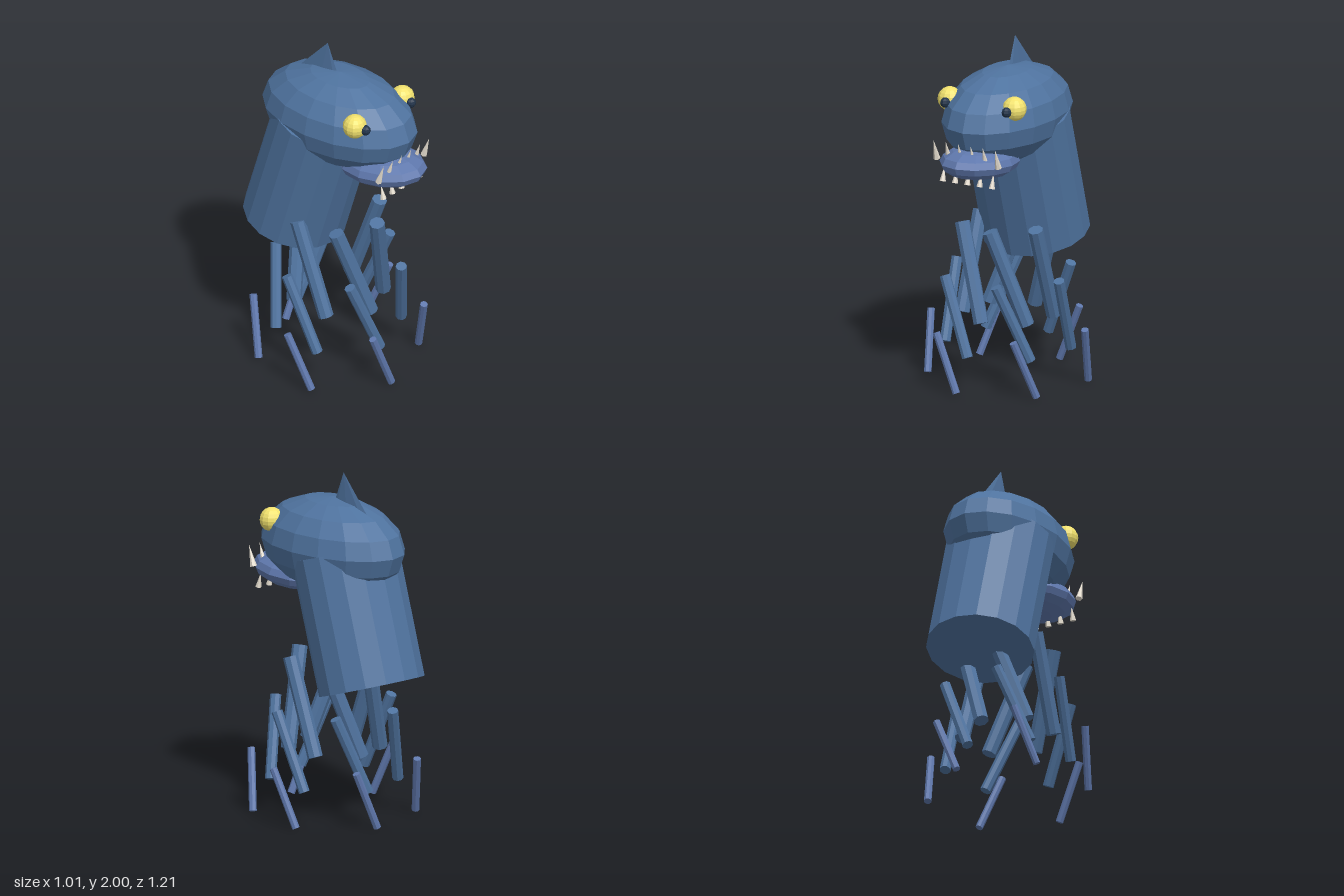
import * as THREE from 'three';

const paint = (color) => new THREE.MeshStandardMaterial({ color, flatShading: true });

export function createModel() {
  const model = new THREE.Group();
  const skin = paint(0x4f739f);
  const paleSkin = paint(0x5f78ad);
  const yellow = paint(0xf2e26e);
  const dark = paint(0x22344a);
  const ivory = paint(0xe6ded0);

  const add = (name, geometry, material, position, rotX = 0, scale = [1, 1, 1]) => {
    const mesh = new THREE.Mesh(geometry, material);
    mesh.name = name;
    mesh.position.set(...position);
    mesh.rotation.x = rotX;
    mesh.scale.set(...scale);
    model.add(mesh);
    return mesh;
  };

  // Leaning trunk, placed from its bottom centre along its axis
  const lean = 0.302;
  const trunkLength = 0.78;
  const trunkGeo = new THREE.CylinderGeometry(1, 1, trunkLength, 16);
  trunkGeo.translate(0, trunkLength / 2, 0);
  add('trunk', trunkGeo, skin, [0, 0.797, -0.32], lean, [0.315, 1, 0.295]);

  // Head and lower jaw
  add('head', new THREE.SphereGeometry(1, 16, 8), skin, [0, 1.57, 0.01], 0, [0.315, 0.275, 0.51]);
  add('jaw', new THREE.SphereGeometry(1, 12, 8), paleSkin, [0, 1.36, 0.32], -0.07, [0.21, 0.098, 0.285]);

  // Thin fin on the crown, hung from its tip
  const finGeo = new THREE.ConeGeometry(0.18, 0.28, 8);
  finGeo.translate(0, -0.14, 0);
  add('fin', finGeo, skin, [0, 2, -0.08], 0.18, [0.11, 1, 1]);

  // Eyes and pupils
  const eyeGeo = new THREE.SphereGeometry(0.07, 12, 10);
  const pupilGeo = new THREE.SphereGeometry(0.03, 8, 6);
  for (const side of [-1, 1]) {
    add('eye', eyeGeo, yellow, [side * 0.21, 1.69, 0.295]);
    add('pupil', pupilGeo, dark, [side * 0.2, 1.685, 0.365]);
  }

  // Two rows of teeth
  const upperTooth = new THREE.ConeGeometry(0.02, 0.125, 6);
  for (let i = 0; i < 6; i++) {
    add('upperTooth', upperTooth, ivory, [-0.2 + i * 0.08, 1.44, 0.48], 0.32);
  }
  const lowerTooth = new THREE.ConeGeometry(0.018, 0.085, 6);
  for (let i = 0; i < 5; i++) {
    add('lowerTooth', lowerTooth, ivory, [-0.16 + i * 0.08, 1.295, 0.455], -0.22);
  }

  // Six legs of three loose, slanted segments, repeated every 60 degrees
  const segments = [
    { name: 'upperLeg', radius: 0.044, top: [0.26, 23.4, 0.93], bottom: [0.26, -24, 0.38], material: skin },
    { name: 'middleLeg', radius: 0.032, top: [0.378, 10.6, 0.64], bottom: [0.36, -20.3, 0.197], material: skin },
    { name: 'lowerLeg', radius: 0.022, top: [0.486, -3.2, 0.345], bottom: [0.46, -20.3, 0.01], material: paleSkin },
  ];
  const polar = ([r, degrees, y], turn) => {
    const a = THREE.MathUtils.degToRad(degrees + turn);
    return new THREE.Vector3(r * Math.cos(a), y, r * Math.sin(a));
  };
  const up = new THREE.Vector3(0, 1, 0);
  for (let leg = 0; leg < 6; leg++) {
    for (const s of segments) {
      const top = polar(s.top, leg * 60);
      const bottom = polar(s.bottom, leg * 60);
      const axis = top.clone().sub(bottom);
      const geo = new THREE.CylinderGeometry(s.radius, s.radius, axis.length(), 8);
      const mid = top.add(bottom).multiplyScalar(0.5);
      const mesh = add(s.name, geo, s.material, mid.toArray());
      mesh.quaternion.setFromUnitVectors(up, axis.normalize());
    }
  }
  return model;
}
